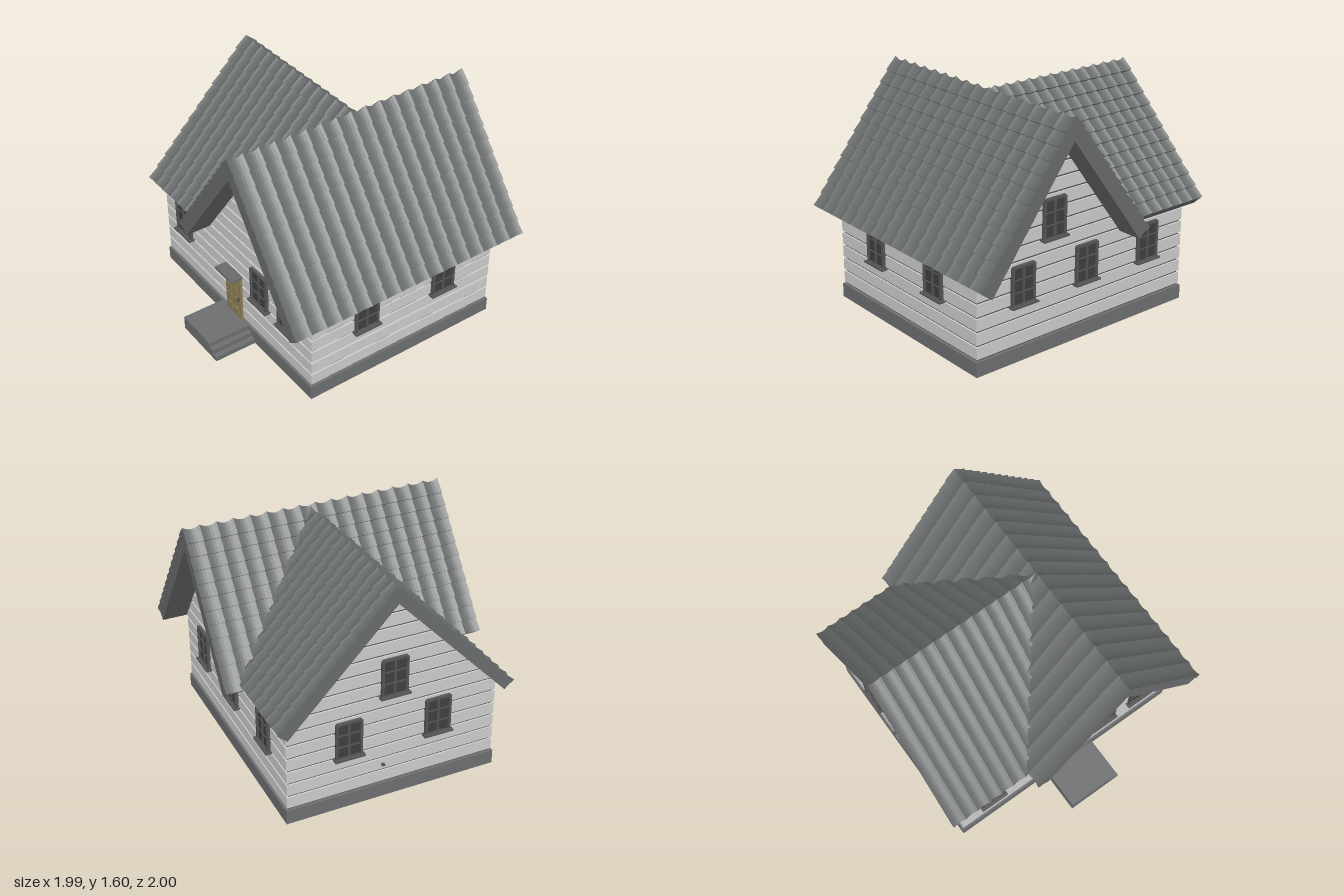
import * as THREE from 'three';

const mat = (color, extra = {}) => new THREE.MeshStandardMaterial({ color, ...extra });
const MAT = {
  wall: mat(0xcccccc),
  gap: mat(0x555555),
  tile: mat(0x686b6b, { flatShading: true, side: THREE.DoubleSide }),
  trim: mat(0x686a6b),
  base: mat(0x6c6e70),
  frame: mat(0x555555),
  glass: mat(0x3c3e40),
  door: mat(0x8c7d55),
};

function add(parent, name, geometry, material) {
  const mesh = new THREE.Mesh(geometry, material);
  mesh.name = name;
  parent.add(mesh);
  return mesh;
}

// box given by its min and max corners
function box(parent, name, material, x0, x1, y0, y1, z0, z1) {
  const mesh = add(parent, name, new THREE.BoxGeometry(x1 - x0, y1 - y0, z1 - z0), material);
  mesh.position.set((x0 + x1) / 2, (y0 + y1) / 2, (z0 + z1) / 2);
  return mesh;
}

function prism(points, l0, l1) {
  const shape = new THREE.Shape(points.map(([x, y]) => new THREE.Vector2(x, y)));
  return new THREE.ExtrudeGeometry(shape, { depth: l1 - l0, bevelEnabled: false }).translate(0, 0, l0);
}

const Y0 = 0.1, COURSE = 0.0955, WALL_TOP = Y0 + 6 * COURSE;

// Both roofs are described across (a), up (y) and along the ridge (l).
const MAIN = { s: 1.34, ridge: 0.28, top: 1.57, lo: -0.365, hi: 0.975, t: 0.08, l0: -0.995, l1: 0.865,
  cols: 16, wall: [-0.89, 0.89, -0.81, 0.68] };
const SIDE = { s: 1.04, ridge: -0.1, top: 1.55, lo: -0.88, hi: 0.735, t: 0.062, l0: -0.27, l1: 0.99,
  cols: 13, wall: [-0.81, 0.68, 0.3, 0.89] };
// the side roof stops just inside the main roof's slope
SIDE.clip = (l, y) => Math.max(l, -(MAIN.ridge - (MAIN.top - y) / MAIN.s + 0.02));

// solid chevron below the tiles, showing as bargeboards and eaves
function roofDeck(r) {
  const n = Math.hypot(1, r.s);
  const edge = (a) => [a, r.top - r.s * Math.abs(a - r.ridge)];
  const inner = (a) => {
    const [x, y] = edge(a);
    return [x - Math.sign(a - r.ridge) * r.s / n * r.t, y - r.t / n];
  };
  const geo = prism([edge(r.lo), inner(r.lo), [r.ridge, r.top - r.t * n], inner(r.hi), edge(r.hi), [r.ridge, r.top]],
    r.l0 + 0.006, r.l1 - 0.006);
  if (r.clip) {
    const p = geo.attributes.position;
    for (let i = 0; i < p.count; i++) p.setZ(i, r.clip(p.getZ(i), p.getY(i)));
    geo.computeVertexNormals();
  }
  return geo;
}

// stepped rows of hollow tiles on one slope
function tileSlope(r, dir, rows = 12, seg = 6) {
  const n = Math.hypot(1, r.s), run = dir > 0 ? r.hi - r.ridge : r.ridge - r.lo;
  const profile = [];
  for (let i = 0; i < rows; i++) {
    profile.push([run * i / rows, 0.003], [run * (i + 1) / rows, 0.017]);
  }
  profile.push([run, -0.012]);
  const count = r.cols * seg, stations = [{ l: r.l0, edge: true }];
  for (let i = 0; i <= count; i++) {
    const f = (i % seg) / seg;
    stations.push({ l: r.l0 + (r.l1 - r.l0) * i / count, wave: 0.012 * (2 * f - 1) ** 2 });
  }
  stations.push({ l: r.l1, edge: true });
  const point = (st, [d, h0]) => {
    const h = st.edge ? -0.006 : h0 + st.wave;
    const a = r.ridge + dir * (d + (d ? h * r.s / n : 0));
    const y = r.top - r.s * d + (d ? h / n : h * n);
    return [a, y, r.clip ? r.clip(st.l, y) : st.l];
  };
  const pos = [];
  for (let j = 0; j < profile.length - 1; j++) {
    for (let i = 0; i < stations.length - 1; i++) {
      const A = point(stations[i], profile[j]), B = point(stations[i + 1], profile[j]);
      const C = point(stations[i + 1], profile[j + 1]), D = point(stations[i], profile[j + 1]);
      if (A[2] === B[2] && C[2] === D[2] && !stations[i].edge && !stations[i + 1].edge) continue;
      pos.push(...(dir > 0 ? [A, B, C, A, C, D] : [A, C, B, A, D, C]).flat());
    }
  }
  const geo = new THREE.BufferGeometry();
  geo.setAttribute('position', new THREE.Float32BufferAttribute(pos, 3));
  geo.computeVertexNormals();
  return geo;
}

// roof with its boarded gable ends
function roofWing(name, r) {
  const g = new THREE.Group();
  g.name = name;
  add(g, 'roofDeck', roofDeck(r), MAT.trim);
  for (const dir of [-1, 1]) add(g, 'roofTiles', tileSlope(r, dir), MAT.tile);
  const [lo, hi, l0, l1] = r.wall;
  const apex = r.top - r.t * Math.hypot(1, r.s) + 0.02;
  const band = (y0, y1, inset) => {
    const at = (y, sgn) => {
      const a = r.ridge + sgn * Math.max((apex - y) / r.s, 0.001);
      return [Math.min(Math.max(a, lo + inset), hi - inset), y];
    };
    return prism([at(y0, -1), at(y0, 1), at(y1, 1), at(y1, -1)], l0 + inset, l1 - inset);
  };
  for (let y = WALL_TOP; y < apex - 0.02; y += COURSE) {
    const y1 = Math.min(y + COURSE, apex);
    add(g, 'gableCore', band(y - 0.001, y1, 0.012), MAT.gap);
    add(g, 'gableBoard', band(y + 0.015, y1, 0), MAT.wall);
  }
  return g;
}

// window facing +z, origin at its centre on the wall
function windowUnit(x, y, z, turn) {
  const g = new THREE.Group(), w = 0.085, h = 0.13;
  g.name = 'window';
  box(g, 'glass', MAT.glass, -w, w, -h, h, -0.01, 0.01);
  for (const s of [-1, 1]) {
    box(g, 'frameSide', MAT.frame, s * w - 0.008, s * w + 0.008, -h, h, -0.01, 0.022);
    box(g, 'frameRail', MAT.frame, -w, w, s * h - 0.008, s * h + 0.008, -0.01, 0.022);
    box(g, 'glazingBar', MAT.frame, -w, w, s * 0.043 - 0.004, s * 0.043 + 0.004, 0, 0.016);
  }
  box(g, 'mullion', MAT.frame, -0.007, 0.007, -h, h, 0, 0.019);
  box(g, 'sill', MAT.frame, -w - 0.02, w + 0.02, -h - 0.008, -h + 0.004, -0.01, 0.04);
  g.position.set(x, y, z);
  g.rotation.y = turn;
  return g;
}

export function createModel() {
  const house = new THREE.Group();
  house.name = 'house';

  // foundation, porch and steps
  box(house, 'foundation', MAT.base, -0.9, 0.9, 0, 0.1, -0.82, 0.69);
  [0.165, 0.205, 0.245].forEach((x, i) =>
    box(house, 'porchStep', MAT.base, i ? 0.1 : -0.165, x, 0, 0.1 - i * 0.0333, 0.68, 1));

  // boarded ground floor
  box(house, 'wallCore', MAT.gap, -0.878, 0.878, Y0, WALL_TOP, -0.798, 0.668);
  for (let i = 0; i < 6; i++) {
    const y = Y0 + i * COURSE;
    box(house, 'wallBoard', MAT.wall, -0.89, 0.89, y + 0.015, y + COURSE, -0.81, 0.68);
  }

  // crossing roofs
  house.add(roofWing('mainRoof', MAIN));
  const side = roofWing('sideRoof', SIDE);
  side.rotation.y = -Math.PI / 2;
  house.add(side);

  // windows
  const low = 0.52, high = 0.9, q = Math.PI / 2;
  for (const x of [-0.635, 0.318, 0.63]) house.add(windowUnit(x, low, 0.68, 0));
  for (const [x, y] of [[0.53, low], [0, low], [-0.55, low], [0.28, high]]) house.add(windowUnit(x, y, -0.81, 2 * q));
  for (const z of [0.25, -0.385]) {
    house.add(windowUnit(0.89, low, z, q));
    house.add(windowUnit(-0.89, low, z, -q));
  }
  house.add(windowUnit(-0.89, high, -0.07, -q));

  // door with raised panels, handle and canopy
  box(house, 'door', MAT.door, -0.09, 0.09, 0.1, 0.455, 0.67, 0.697);
  for (const x of [-0.04, 0.04]) {
    for (let i = 0; i < 4; i++) {
      const y = 0.125 + i * 0.082;
      box(house, 'doorPanel', MAT.door, x - 0.025, x + 0.025, y, y + 0.058, 0.69, 0.705);
    }
  }
  box(house, 'doorHandle', MAT.frame, 0.07, 0.08, 0.26, 0.285, 0.69, 0.712);
  box(house, 'canopyBase', MAT.trim, -0.09, 0.09, 0.452, 0.464, 0.67, 0.75);
  box(house, 'canopy', MAT.trim, -0.103, 0.103, 0.462, 0.478, 0.67, 0.77);

  // small wall tap
  box(house, 'wallTap', MAT.frame, -0.915, -0.88, 0.245, 0.256, -0.15, -0.13);
  return house;
}
